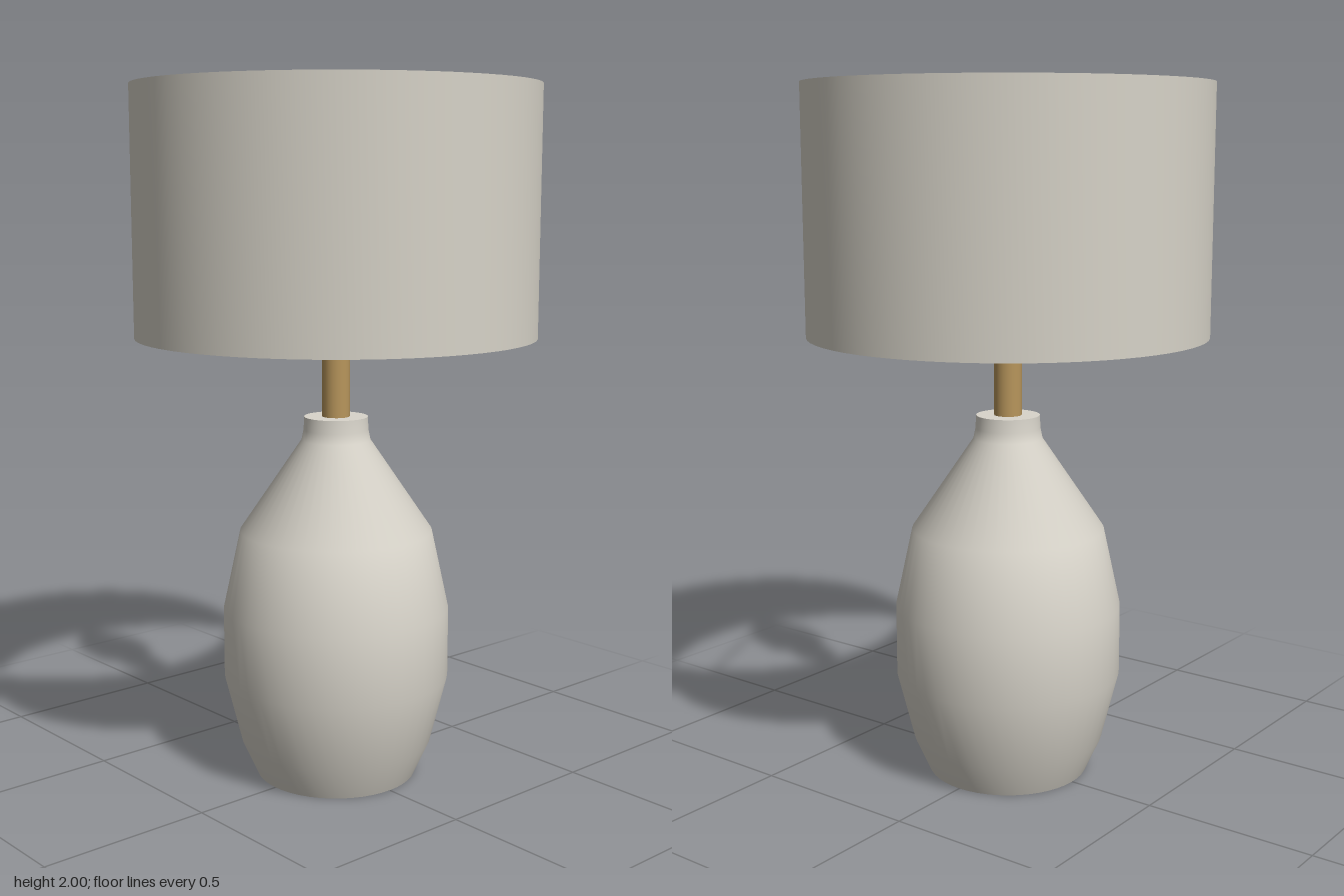
import * as THREE from 'three';
import { toCreasedNormals } from 'three/addons/utils/BufferGeometryUtils.js';

function material(name, color) {
  const m = new THREE.MeshStandardMaterial({ color });
  m.name = name;
  return m;
}

// Revolves [radius, height] points listed from bottom to top
function turned(name, points, segments, mat, crease) {
  const profile = points.map(([r, y]) => new THREE.Vector2(r, y));
  const geometry = toCreasedNormals(new THREE.LatheGeometry(profile, segments), crease);
  const mesh = new THREE.Mesh(geometry, mat);
  mesh.name = name;
  return mesh;
}

export function createModel() {
  const lamp = new THREE.Group();
  lamp.name = 'tableLamp';

  const ceramic = material('glazed ceramic', 0xd9d5cb);
  const linen = material('linen shade', 0xd7d3c8);
  const brass = material('brass', 0xb8965c);
  const amber = material('amber bulb', 0xd8a676);

  // Vase-shaped base with a short neck
  lamp.add(turned('base', [
    [0, 0], [0.235, 0], [0.28, 0.1], [0.33, 0.3], [0.33, 0.505],
    [0.28, 0.735], [0.1, 1.0], [0.094, 1.03], [0.092, 1.068], [0, 1.068],
  ], 48, ceramic, 0.9));

  // Stem rising through the bulb to the top of the shade
  const stem = new THREE.Mesh(new THREE.CylinderGeometry(0.04, 0.04, 0.94, 20), brass);
  stem.name = 'stem';
  stem.position.y = 1.53;
  lamp.add(stem);

  // Socket collar
  lamp.add(turned('socket', [
    [0.038, 1.385], [0.066, 1.42], [0.066, 1.5], [0.038, 1.515],
  ], 20, brass, 0.5));

  // Faceted bulb
  lamp.add(turned('bulb', [
    [0, 1.62], [0.108, 1.63], [0.111, 1.75], [0.086, 1.84], [0, 1.84],
  ], 14, amber, 0.3));

  // Thin open drum shade with inner and outer walls
  lamp.add(turned('shade', [
    [0.566, 1.3], [0.572, 1.3], [0.572, 2], [0.566, 2], [0.566, 1.3],
  ], 64, linen, 0.5));

  // Three spokes holding the shade
  const hub = new THREE.Vector3(0, 1.955, 0);
  for (let i = 0; i < 3; i++) {
    const a = (i * Math.PI * 2) / 3;
    const end = new THREE.Vector3(Math.cos(a) * 0.568, 1.98, Math.sin(a) * 0.568);
    const path = new THREE.LineCurve3(hub, end);
    const spoke = new THREE.Mesh(new THREE.TubeGeometry(path, 1, 0.008, 8), brass);
    spoke.name = 'shadeSpoke' + (i + 1);
    lamp.add(spoke);
  }

  return lamp;
}
